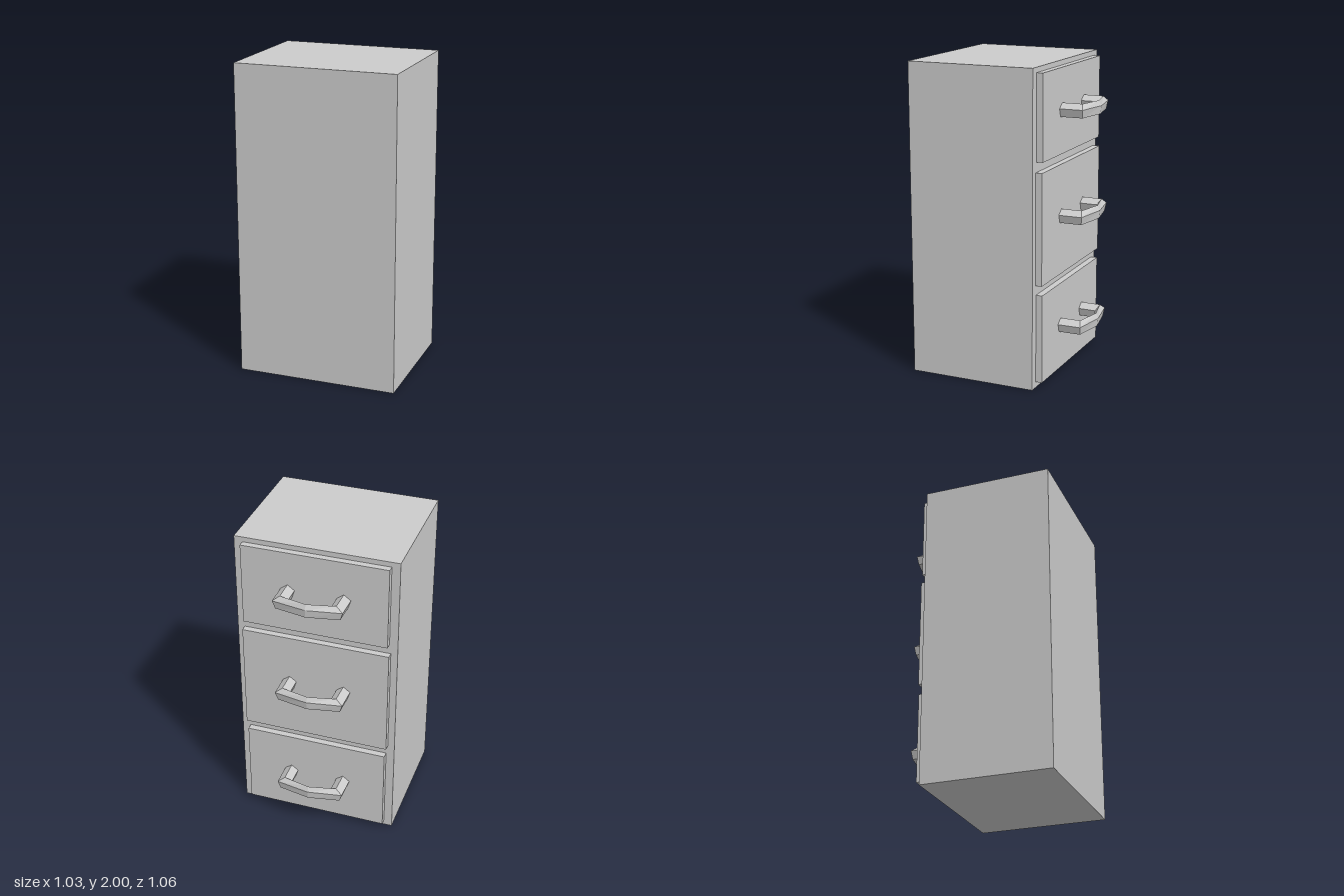
import * as THREE from 'three';

const material = new THREE.MeshStandardMaterial({ color: 0xcccccc, flatShading: true });

// Box given by its limits on each axis
function box(name, [x0, x1], [y0, y1], [z0, z1]) {
  const geometry = new THREE.BoxGeometry(x1 - x0, y1 - y0, z1 - z0);
  const mesh = new THREE.Mesh(geometry, material);
  mesh.position.set((x0 + x1) / 2, (y0 + y1) / 2, (z0 + z1) / 2);
  mesh.name = name;
  return mesh;
}

// Five-sided bar swept from one foot, over a bowed grip, to the other foot
function handleGeometry() {
  const sides = 5, radius = 0.0464;
  // Each ring: centre x, centre z, half-width vector pointing outward (x, z)
  const rings = [
    [-0.177, -0.32, -0.044, 0],
    [-0.175, -0.475, -0.044, -0.0175],
    [0, -0.514, 0, -0.0165],
    [0.175, -0.475, 0.044, -0.0175],
    [0.177, -0.32, 0.044, 0],
  ];
  const positions = [], index = [];
  for (const [cx, cz, wx, wz] of rings) {
    for (let k = 0; k < sides; k++) {
      const a = (k / sides) * Math.PI * 2;
      const s = Math.sin(a) / Math.sin(Math.PI * 0.4);
      positions.push(cx + wx * s, radius * Math.cos(a), cz + wz * s);
    }
  }
  for (let i = 0; i < rings.length - 1; i++) {
    for (let k = 0; k < sides; k++) {
      const a = i * sides + k, b = i * sides + ((k + 1) % sides);
      index.push(a, a + sides, b + sides, a, b + sides, b);
    }
  }
  const indexed = new THREE.BufferGeometry();
  indexed.setAttribute('position', new THREE.Float32BufferAttribute(positions, 3));
  indexed.setIndex(index);
  const geometry = indexed.toNonIndexed();
  geometry.computeVertexNormals();
  return geometry;
}

export function createModel() {
  const model = new THREE.Group();
  model.name = 'drawerCabinet';

  // Cabinet body
  model.add(box('cabinetBody', [-0.517, 0.515], [0, 2], [-0.301, 0.53]));

  // Drawer fronts, each with a pull handle
  const drawers = [
    { name: 'bottomDrawer', x: [-0.464, 0.461], y: [0.037, 0.603], handleY: 0.324 },
    { name: 'middleDrawer', x: [-0.474, 0.47], y: [0.665, 1.37], handleY: 1.039 },
    { name: 'topDrawer', x: [-0.464, 0.461], y: [1.433, 1.968], handleY: 1.705 },
  ];
  const handle = handleGeometry();
  for (const { name, x, y, handleY } of drawers) {
    const drawer = new THREE.Group();
    drawer.name = name;
    drawer.add(box('drawerFront', x, y, [-0.343, -0.295]));
    const pull = new THREE.Mesh(handle, material);
    pull.name = 'drawerHandle';
    pull.position.set(-0.012, handleY, 0);
    drawer.add(pull);
    model.add(drawer);
  }
  return model;
}
